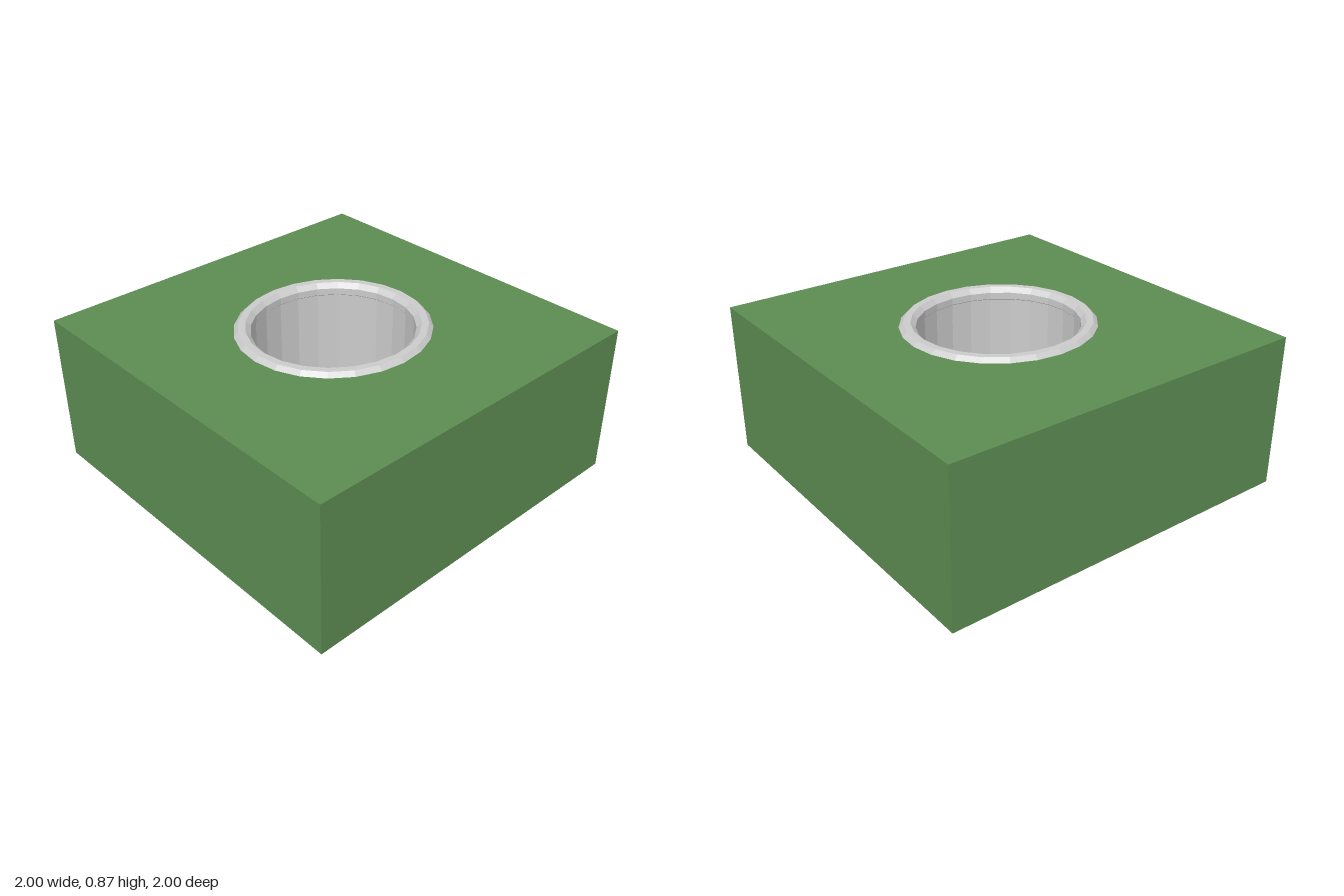
import * as THREE from 'three';

const SIDES = 24;
const BOTTOM = 0.022, TOP = 0.845, HEIGHT = 0.867;
const OVAL = 1.04; // the bore is slightly longer along z

export function createModel() {
  const group = new THREE.Group();
  group.name = 'blockWithSleeve';
  const green = new THREE.MeshStandardMaterial({ color: 0x5c8c52, flatShading: true });
  const grey = new THREE.MeshStandardMaterial({ color: 0xcccccc, flatShading: true });

  // Square block with a through bore
  const shape = new THREE.Shape([[-1, -1], [1, -1], [1, 1], [-1, 1]].map(([x, y]) => new THREE.Vector2(x, y)));
  const ring = [];
  for (let i = 0; i < SIDES; i++) {
    const a = (i / SIDES) * Math.PI * 2;
    ring.push(new THREE.Vector2(0.45 * Math.cos(a), 0.45 * OVAL * Math.sin(a)));
  }
  shape.holes.push(new THREE.Path(ring));
  const blockGeo = new THREE.ExtrudeGeometry(shape, { depth: TOP - BOTTOM, bevelEnabled: false });
  blockGeo.rotateX(-Math.PI / 2).translate(0, BOTTOM, 0);
  const block = new THREE.Mesh(blockGeo, green);
  block.name = 'block';
  group.add(block);

  // Sleeve wall lining the bore
  const wall = new THREE.Mesh(
    new THREE.LatheGeometry([[0.411, HEIGHT - 0.04], [0.411, 0.04]].map(([r, y]) => new THREE.Vector2(r, y)), SIDES),
    grey
  );
  wall.name = 'sleeveWall';
  wall.scale.z = OVAL;
  group.add(wall);

  // Octagonal-section rims, standing slightly proud of each face
  const R = 0.45, tube = 0.0465;
  const apothem = tube * Math.cos(Math.PI / 8);
  const section = [];
  for (let i = 0; i <= 8; i++) {
    const a = ((i - 0.5) / 8) * Math.PI * 2;
    section.push(new THREE.Vector2(R + tube * Math.cos(a), tube * Math.sin(a)));
  }
  const rimGeo = new THREE.LatheGeometry(section, SIDES);
  for (const [name, y] of [['topRim', HEIGHT - apothem], ['bottomRim', apothem]]) {
    const rim = new THREE.Mesh(rimGeo, grey);
    rim.name = name;
    rim.position.y = y;
    rim.scale.z = OVAL;
    group.add(rim);
  }
  return group;
}
